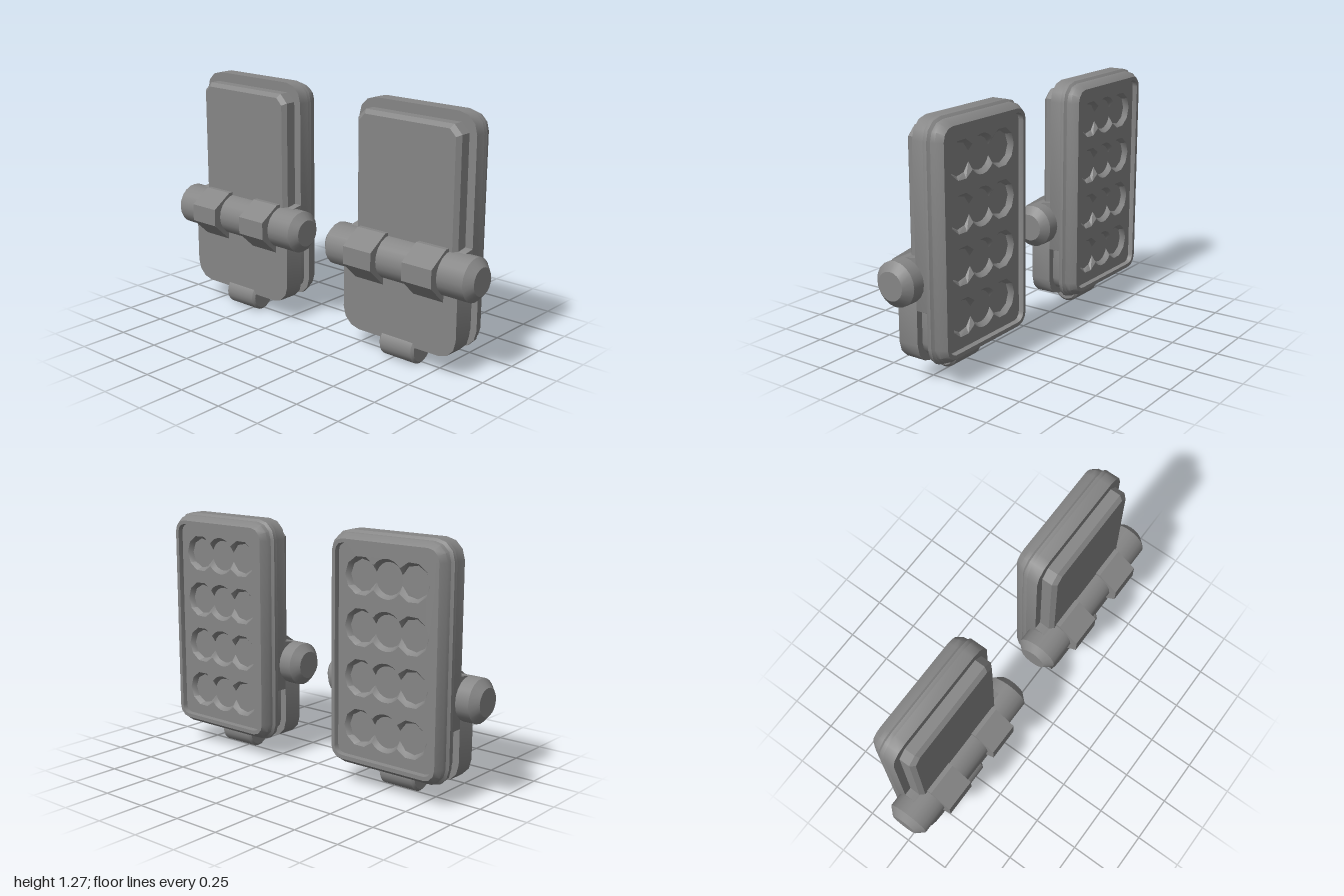
import * as THREE from 'three';
import { toCreasedNormals, mergeGeometries } from 'three/addons/utils/BufferGeometryUtils.js';

const grey = new THREE.MeshStandardMaterial({ color: 0x868686 });
grey.name = 'grey plastic';

function part(name, geometry, parent, crease = 0.6) {
  const mesh = new THREE.Mesh(toCreasedNormals(geometry, crease), grey);
  mesh.name = name;
  parent.add(mesh);
  return mesh;
}

// Counter-clockwise rectangle with rounded corners; rb is the bottom radius, rt the top one
function rounded(x, y0, y1, rb, rt, seg = 3) {
  const corners = [[1, 1, rt], [-1, 1, rt], [-1, -1, rb], [1, -1, rb]];
  const points = [];
  corners.forEach(([sx, sy, r], i) => {
    for (let k = 0; k <= seg; k++) {
      const a = (i + k / seg) * Math.PI / 2;
      points.push(new THREE.Vector2(
        sx * (x - r) + r * Math.cos(a),
        (sy > 0 ? y1 - r : y0 + r) + r * Math.sin(a)));
    }
  });
  return points;
}

// Joins equal-length loops [points, z] listed from front to back; caps are optional
function loft(sections, capFront = true, capBack = true) {
  const pos = [];
  const add = ([pts, z], j) => {
    const p = pts[j % pts.length];
    pos.push(p.x, p.y, z);
  };
  for (let i = 0; i < sections.length - 1; i++) {
    const a = sections[i], b = sections[i + 1];
    for (let j = 0; j < a[0].length; j++) {
      add(a, j); add(b, j); add(a, j + 1);
      add(a, j + 1); add(b, j); add(b, j + 1);
    }
  }
  const cap = (s, front) => {
    for (let j = 1; j < s[0].length - 1; j++) {
      add(s, 0); add(s, front ? j : j + 1); add(s, front ? j + 1 : j);
    }
  };
  if (capFront) cap(sections[0], true);
  if (capBack) cap(sections[sections.length - 1], false);
  const g = new THREE.BufferGeometry();
  g.setAttribute('position', new THREE.Float32BufferAttribute(pos, 3));
  return g;
}

// Outline of three overlapping circles in a row
function pocketOutline(r, cy) {
  const d = 0.15, a = Math.acos(d / 2 / r), n = 8, points = [];
  const arc = (cx, from, to) => {
    for (let k = 0; k < n; k++) {
      const t = from + (to - from) * k / n;
      points.push(new THREE.Vector2(cx + r * Math.cos(t), cy + r * Math.sin(t)));
    }
  };
  arc(d, a - Math.PI, Math.PI - a);
  arc(0, a, Math.PI - a);
  arc(-d, a, 2 * Math.PI - a);
  arc(0, Math.PI + a, 2 * Math.PI - a);
  return points;
}

// Chamfered bar lying along x
function bar(half, r, rEnd, chamfer) {
  const profile = [[0, -half], [rEnd, -half], [r, chamfer - half], [r, half - chamfer], [rEnd, half], [0, half]];
  return new THREE.LatheGeometry(profile.map(p => new THREE.Vector2(...p)), 20).rotateZ(Math.PI / 2);
}

// Profile given as [z, y], extruded along x and centred
function sideExtrude(profile, width) {
  const shape = new THREE.Shape(profile.map(([z, y]) => new THREE.Vector2(-z, y)));
  return new THREE.ExtrudeGeometry(shape, { depth: width, bevelEnabled: false })
    .translate(0, 0, -width / 2).rotateY(Math.PI / 2);
}

function createUnit() {
  const unit = new THREE.Group();
  const y0 = 0.105, y1 = 1.275, hw = 0.347;
  const ring = (inset, r = Math.max(0.1 - inset, 0.025)) =>
    rounded(hw - inset, y0 + inset, y1 - inset, r, r);

  // Case: rear tray with a raised rim around a shallow recess
  part('rearTray', loft([
    [ring(0), -0.09], [ring(0), -0.11], [ring(0.012), -0.122],
    [ring(0.015), -0.145], [ring(0.038), -0.177], [ring(0.058), -0.177], [ring(0.062), -0.15],
  ], true, false), unit);

  // Case: full-width middle above, recessed core below that leaves a slot
  const upper = rounded(hw, 0.38, y1, 0.001, 0.1);
  part('upperCase', loft([[upper, -0.03], [upper, -0.09]]), unit);
  const core = rounded(hw - 0.035, y0 + 0.035, 0.5, 0.07, 0.001);
  part('slotCore', loft([[core, -0.03], [core, -0.09]]), unit);

  // Thick lower front and the sloped shoulder behind the hinge
  const lower = rounded(hw, y0, 0.51, 0.1, 0.001);
  part('lowerFront', loft([[lower, 0.08], [lower, -0.03]]), unit);
  part('shoulder', sideExtrude([[-0.03, 0.5], [0.06, 0.5], [0.06, 0.6], [0.03, 0.625], [-0.03, 0.635]], hw * 2), unit);

  // Raised upper front with chamfered edges
  const front = inset => rounded(0.305 - inset, 0.5, 1.225 - inset, 0.001, 0.045 - inset / 2, 1);
  part('upperFront', loft([[front(0.02), 0.046], [front(0), 0.025], [front(0), -0.03]]), unit, 0.3);

  // Rear panel with four rows of triple pockets
  const back = new THREE.Group();
  back.name = 'pocketPanel';
  back.position.set(0, 0, -0.152);
  back.rotation.y = Math.PI;
  unit.add(back);
  const panel = new THREE.Shape(ring(0.058));
  const walls = [], floors = [];
  for (let i = 0; i < 4; i++) {
    const cy = 0.69 + (i - 1.5) * 0.25;
    const rim = pocketOutline(0.096, cy), base = pocketOutline(0.079, cy);
    panel.holes.push(new THREE.Path(rim));
    walls.push(loft([[base, -0.025], [rim, 0]], false, false));
    floors.push(new THREE.ShapeGeometry(new THREE.Shape(base)).translate(0, 0, -0.025));
  }
  part('panelFace', new THREE.ShapeGeometry(panel), back);
  part('pocketWalls', mergeGeometries(walls), back);
  part('pocketFloors', mergeGeometries(floors), back);

  // Hinge bar with two angular clamps
  part('hingeBar', bar(0.453, 0.11, 0.07, 0.037), unit).position.set(-0.002, 0.516, 0.033);
  const clamp = [[-0.03, 0.4], [0.08, 0.382], [0.18, 0.475], [0.18, 0.567], [0.07, 0.64], [0.045, 0.64], [-0.03, 0.61]];
  for (const x of [-0.181, 0.181]) {
    part('hingeClamp', sideExtrude(clamp, 0.174), unit, 0.1).position.x = x;
  }

  // Small pin below the case
  part('bottomPin', bar(0.107, 0.077, 0.064, 0.012), unit).position.set(0, 0.079, 0.02);
  return unit;
}

export function createModel() {
  const model = new THREE.Group();
  for (const [name, x] of [['leftUnit', 0.546], ['rightUnit', -0.546]]) {
    const unit = createUnit();
    unit.name = name;
    unit.position.x = x;
    model.add(unit);
  }
  return model;
}
